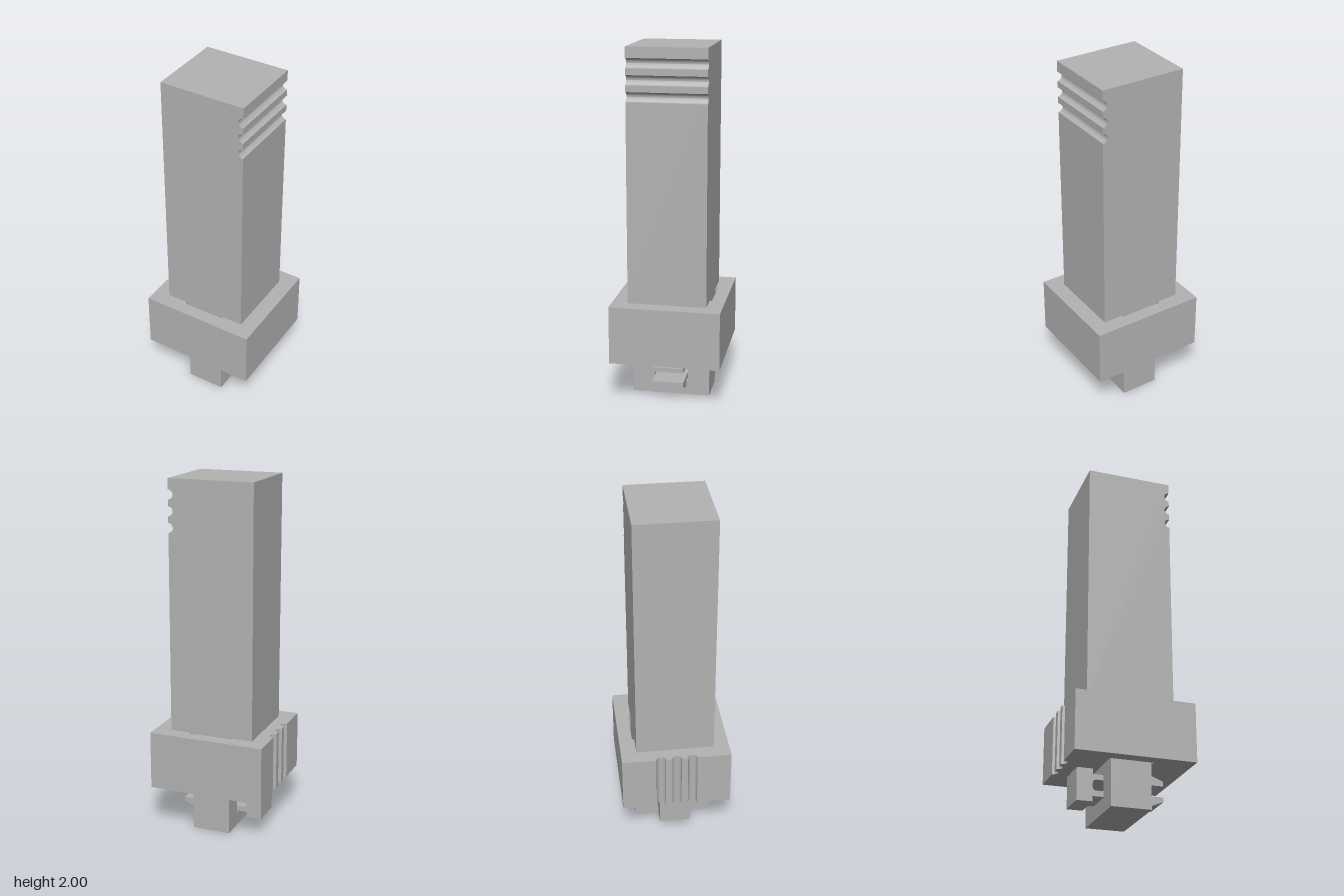
import * as THREE from 'three';
import { toCreasedNormals } from 'three/addons/utils/BufferGeometryUtils.js';

const GROOVE = 0.027;

function extrude(shape, depth) {
  const geo = new THREE.ExtrudeGeometry(shape, { depth, bevelEnabled: false, curveSegments: 14 });
  geo.translate(0, 0, -depth / 2);
  return toCreasedNormals(geo, 0.5);
}

// Rectangle as a closed path, usable as outline or hole
function rect(path, x0, y0, x1, y1) {
  path.moveTo(x0, y0);
  path.lineTo(x1, y0);
  path.lineTo(x1, y1);
  path.lineTo(x0, y1);
  path.closePath();
  return path;
}

export function createModel() {
  const group = new THREE.Group();
  const grey = new THREE.MeshStandardMaterial({ color: 0xb2b2b2 });
  grey.name = 'plain grey';

  const add = (name, geo) => {
    const mesh = new THREE.Mesh(geo, grey);
    mesh.name = name;
    group.add(mesh);
    return mesh;
  };

  // Tall bar with three half-round grooves near the top of its left side
  const bar = new THREE.Shape();
  bar.moveTo(-0.245, 0.58);
  bar.lineTo(0.243, 0.58);
  for (const y of [1.733, 1.823, 1.913]) {
    bar.lineTo(0.243, y - GROOVE);
    bar.absarc(0.243, y, GROOVE, -Math.PI / 2, Math.PI / 2, true);
  }
  bar.lineTo(0.243, 2);
  bar.lineTo(-0.245, 2);
  bar.closePath();
  add('bar', extrude(bar, 0.444));

  // Collar with a slot for the tang and three vertical grooves
  const collar = new THREE.Shape();
  collar.moveTo(-0.333, 0.311);
  for (const z of [0.09, 0, -0.09]) {
    collar.lineTo(-0.333, z + GROOVE);
    collar.absarc(-0.333, z, GROOVE, Math.PI / 2, -Math.PI / 2, true);
  }
  collar.lineTo(-0.333, -0.311);
  collar.lineTo(0.333, -0.311);
  collar.lineTo(0.333, 0.311);
  collar.closePath();
  collar.holes.push(rect(new THREE.Path(), -0.122, -0.235, 0.122, 0.235));
  const collarMesh = add('collar', extrude(collar, 0.33).rotateX(-Math.PI / 2));
  collarMesh.position.y = 0.415;

  // Tang below the bar, with a window for the clip
  const tang = rect(new THREE.Shape(), -0.222, 0, 0.222, 0.58);
  tang.holes.push(rect(new THREE.Path(), -0.097, 0.08, 0.097, 0.21));
  add('tang', extrude(tang, 0.22).rotateY(Math.PI / 2));

  // Snap clip: a head and two barbed arms, mirrored about its middle
  const half = [[-0.255, 0.089], [-0.167, 0.089], [-0.167, 0.06], [0.114, 0.06],
    [0.114, 0.089], [0.142, 0.089], [0.225, 0.056], [0.225, 0.03]];
  const clip = new THREE.Shape();
  clip.moveTo(-0.255, -0.089);
  half.slice(1).forEach(([x, y]) => clip.lineTo(x, -y));
  clip.lineTo(-0.147, -0.03);
  clip.absarc(-0.147, -0.01, 0.02, -Math.PI / 2, -Math.PI, true);
  clip.absarc(-0.147, 0.01, 0.02, Math.PI, Math.PI / 2, true);
  [...half].reverse().forEach(([x, y]) => clip.lineTo(x, y));
  clip.closePath();
  add('snapClip', extrude(clip, 0.18)).position.y = 0.145;

  return group;
}
